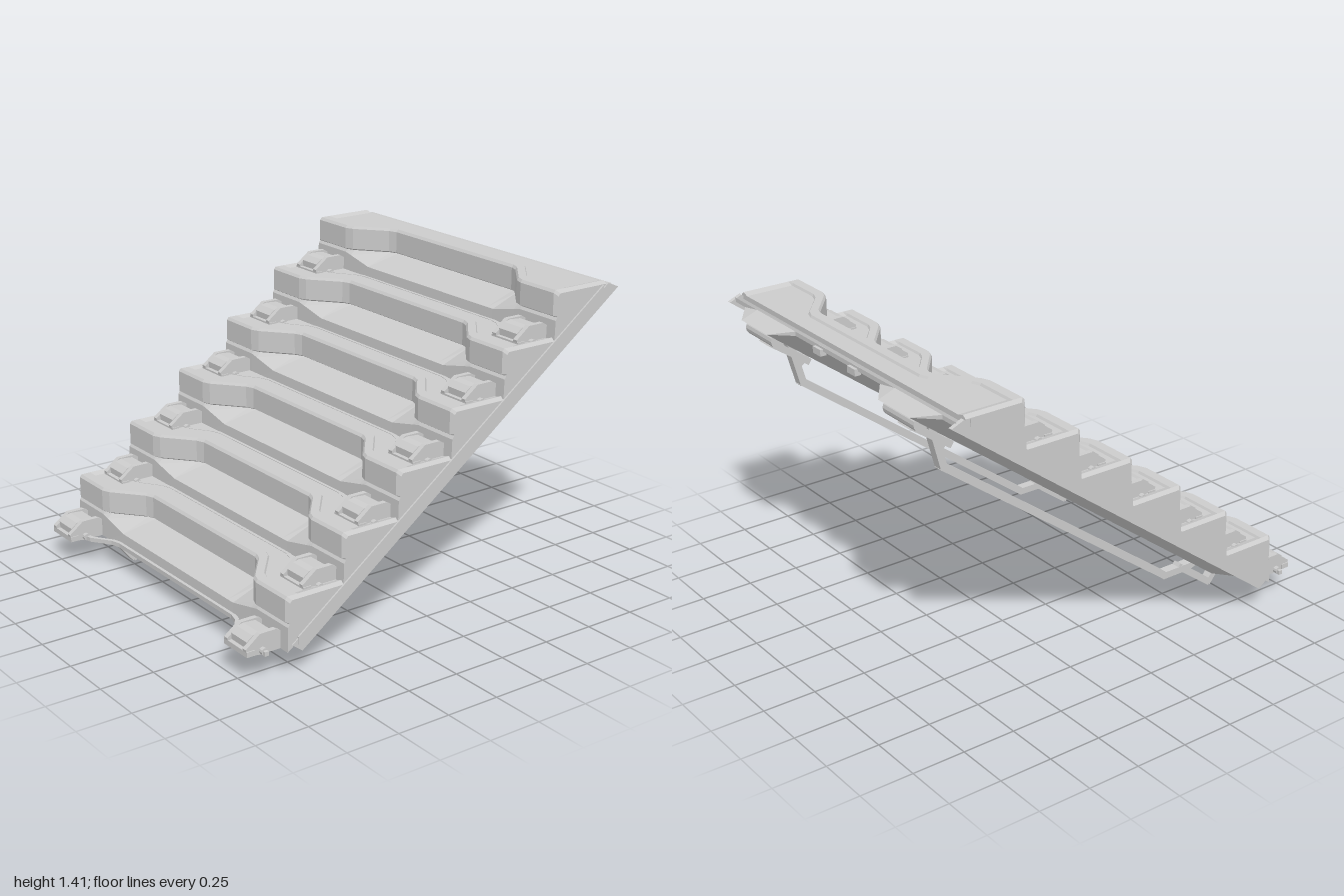
import * as THREE from 'three';

const material = new THREE.MeshStandardMaterial({ color: 0xcccccc, flatShading: true });
const RUN = 0.283, RISE = 0.211, STEPS = 6;
const FRONT = 0.83, BASE = 0.12;
const slope = z => BASE + (FRONT - z) * RISE / RUN; // pitch line of the flight

// Loft closed [z, y] profiles across x (increasing), with capped ends
function loft(xs, profile) {
  const rings = xs.map(x => profile(x));
  const n = rings[0].length, pos = [];
  const put = (i, j) => pos.push(xs[i], rings[i][j % n][1], rings[i][j % n][0]);
  for (let i = 0; i < xs.length - 1; i++) {
    for (let j = 0; j < n; j++) {
      put(i, j); put(i + 1, j); put(i + 1, j + 1);
      put(i, j); put(i + 1, j + 1); put(i, j + 1);
    }
  }
  for (const [i, sign] of [[0, 1], [xs.length - 1, -1]]) {
    const pts = rings[i].map(p => new THREE.Vector2(p[0], p[1]));
    for (const [a, b, c] of THREE.ShapeUtils.triangulateShape(pts, [])) {
      const area = THREE.ShapeUtils.area([pts[a], pts[b], pts[c]]);
      const order = area * sign > 0 ? [a, b, c] : [a, c, b];
      order.forEach(j => put(i, j));
    }
  }
  const geo = new THREE.BufferGeometry();
  geo.setAttribute('position', new THREE.Float32BufferAttribute(pos, 3));
  geo.computeVertexNormals();
  return geo;
}

function add(parent, name, geo, x = 0, y = 0, z = 0) {
  const mesh = new THREE.Mesh(geo, material);
  mesh.name = name;
  mesh.position.set(x, y, z);
  parent.add(mesh);
  return mesh;
}

// Straight bar between two [z, y] points at a given x
function bar(parent, name, x, a, b, width, thick) {
  const dz = b[0] - a[0], dy = b[1] - a[1];
  const mesh = add(parent, name, new THREE.BoxGeometry(width, thick, Math.hypot(dz, dy) + thick * 0.5),
    x, (a[1] + b[1]) / 2, (a[0] + b[0]) / 2);
  mesh.rotation.x = -Math.atan2(dy, dz);
}

const mirrored = list => [...list.map(v => -v), ...[...list].reverse()];

// Piecewise-linear lookup on |x|
function lookup(table, x) {
  const a = Math.abs(x);
  for (let i = 1; i < table.length; i++) {
    const [x0, v0] = table[i - 1], [x1, v1] = table[i];
    if (a <= x1) return v0 + (v1 - v0) * (a - x0) / (x1 - x0);
  }
  return table[table.length - 1][1];
}

// Depth of the central recess, and height of the apron that closes its front
const RECESS = [[0, 0.145], [0.42, 0.145], [0.46, 0.13], [0.6, 0.015], [0.64, 0], [0.9, 0]];
const APRON = [[0, 0.06], [0.46, 0.06], [0.64, 0.1], [0.9, 0.1]];

function stepGeometry(last) {
  return loft(mirrored([0.868, 0.852, 0.82, 0.64, 0.6, 0.46, 0.42]), x => {
    const r = lookup(RECESS, x);
    const end = Math.abs(x) > 0.86 ? 0.014 : 0;
    const top = 0.233 - end;
    const rim = Math.abs(x) > 0.84 ? top : top - 0.01;
    const back = last ? -0.295 : -RUN;
    return [
      [0, -0.01], [-0.003, lookup(APRON, x)],
      [-r - 0.012, 0.113], [-r - end, 0.12],      // recess floor, then lip overhang
      [-r - end, top - 0.012], [-r - end - 0.01, top],
      [-r - 0.055, top], [-r - 0.062, rim],       // raised nosing
      [back, rim], [back, -back * RISE / RUN - 0.02],
    ];
  });
}

// Hinged coupling with cheeks, hood, pin and hook
function clamp() {
  const g = new THREE.Group();
  g.name = 'coupling';
  const cheek = [[0.165, 0], [0.17, 0.03], [0.13, 0.06], [0.1, 0.083], [0.02, 0.083], [-0.02, 0.06], [-0.02, -0.01], [0.1, -0.01]];
  const hood = [[0.148, 0.02], [0.15, 0.05], [0.12, 0.072], [0.09, 0.079], [0.03, 0.074], [0.03, 0.02]];
  for (const x of [-0.068, 0.068])
    add(g, 'couplingCheek', loft([x - 0.012, x + 0.012], () => cheek));
  add(g, 'couplingHood', loft([-0.057, 0.057], () => hood));
  add(g, 'couplingTongue', new THREE.BoxGeometry(0.12, 0.022, 0.12), 0, 0.005, 0.04);
  add(g, 'couplingHook', new THREE.BoxGeometry(0.17, 0.024, 0.04), 0, 0.008, 0.148);
  add(g, 'couplingStop', new THREE.BoxGeometry(0.045, 0.03, 0.03), 0, -0.008, 0.09);
  const pin = add(g, 'couplingPin', new THREE.CylinderGeometry(0.016, 0.016, 0.2, 10), 0, 0.008, 0.09);
  pin.rotation.z = Math.PI / 2;
  return g;
}

export function createModel() {
  const model = new THREE.Group();
  model.name = 'stairFlight';

  // Steps with couplings and a thin cranked rod in front of each riser
  for (let i = 0; i < STEPS; i++) {
    const row = new THREE.Group();
    row.name = 'stepRow';
    row.position.set(0, BASE + i * RISE, FRONT - i * RUN);
    add(row, 'step', stepGeometry(i === STEPS - 1));
    for (const s of [-1, 1]) {
      const c = clamp();
      c.position.x = s * 0.735;
      row.add(c);
    }
    add(row, 'crossRod', loft(mirrored([0.85, 0.66, 0.61, 0.52, 0.47]), x => {
      const z = lookup([[0, 0.004], [0.47, 0.004], [0.52, 0.018], [0.61, 0.08], [0.66, 0.09], [0.9, 0.09]], x);
      return [[z + 0.01, -0.006], [z + 0.01, 0.014], [z - 0.01, 0.014], [z - 0.01, -0.006]];
    }));
    model.add(row);
  }

  // Sloping underside pan; two downward channels fade out near the foot
  const DROP = [[0, 0.055], [0.33, 0.055], [0.44, 0.125], [0.66, 0.125], [0.77, 0.055], [0.9, 0.055]];
  add(model, 'undersidePan', loft(mirrored([0.86, 0.77, 0.66, 0.44, 0.33]), x => {
    const d = lookup(DROP, x), k = (d - 0.055) / 0.07;
    const f = 0.76 - 0.1 * k, b = -0.92 - 0.08 * k;
    return [
      [0.775, slope(0.775) - 0.05], [0.78, slope(0.78) - 0.025],
      [-0.92, slope(-0.92) - 0.035], [b, slope(b) - d], [f, slope(f) - d],
    ];
  }));

  for (const s of [-1, 1]) {
    // Side stringer with a raised strip
    add(model, 'stringer', loft([s * 0.864 - 0.01, s * 0.864 + 0.01], () => [
      [0.76, slope(0.76) - 0.07], [0.81, slope(0.81) + 0.005],
      [-0.89, slope(-0.89) - 0.005], [-0.95, slope(-0.95) - 0.075]]));
    add(model, 'stringerStrip', loft([s * 0.868 - 0.008, s * 0.868 + 0.008], () => [
      [0.78, slope(0.78) - 0.02], [0.78, slope(0.78) + 0.012],
      [-0.86, slope(-0.86) + 0.012], [-0.86, slope(-0.86) - 0.02]]));

    // Support rail under each channel
    const x = s * 0.55;
    const rail = [[-0.835, 1.25], [-0.78, 1.05], [0.45, 0.14], [0.6, 0.14], [0.66, 0.16]];
    for (let i = 1; i < rail.length; i++)
      bar(model, 'supportRail', x, rail[i - 1], rail[i], 0.044, 0.034);
    bar(model, 'railBrace', x, [-0.8, 1.13], [-0.74, 1.18], 0.035, 0.025);
    bar(model, 'railMount', x, [-0.94, 1.28], [-0.76, 1.155], 0.09, 0.03);

    // Hooked foot
    const foot = [[0.8, 0.1], [0.73, 0.014], [0.54, 0.155]];
    for (let i = 1; i < foot.length; i++)
      bar(model, 'foot', x, foot[i - 1], foot[i], 0.04, 0.032);
    add(model, 'footPlate', new THREE.BoxGeometry(0.14, 0.035, 0.08), x, 0.1, 0.77);

    // Hinge tube at the upper end
    const tube = add(model, 'hingeTube', new THREE.CylinderGeometry(0.036, 0.036, 0.22, 14), x, 1.32, -0.945);
    tube.rotation.z = Math.PI / 2;

    add(model, 'backTab', new THREE.BoxGeometry(0.06, 0.03, 0.03), s * 0.135, 1.365, -0.92);
  }
  return model;
}
